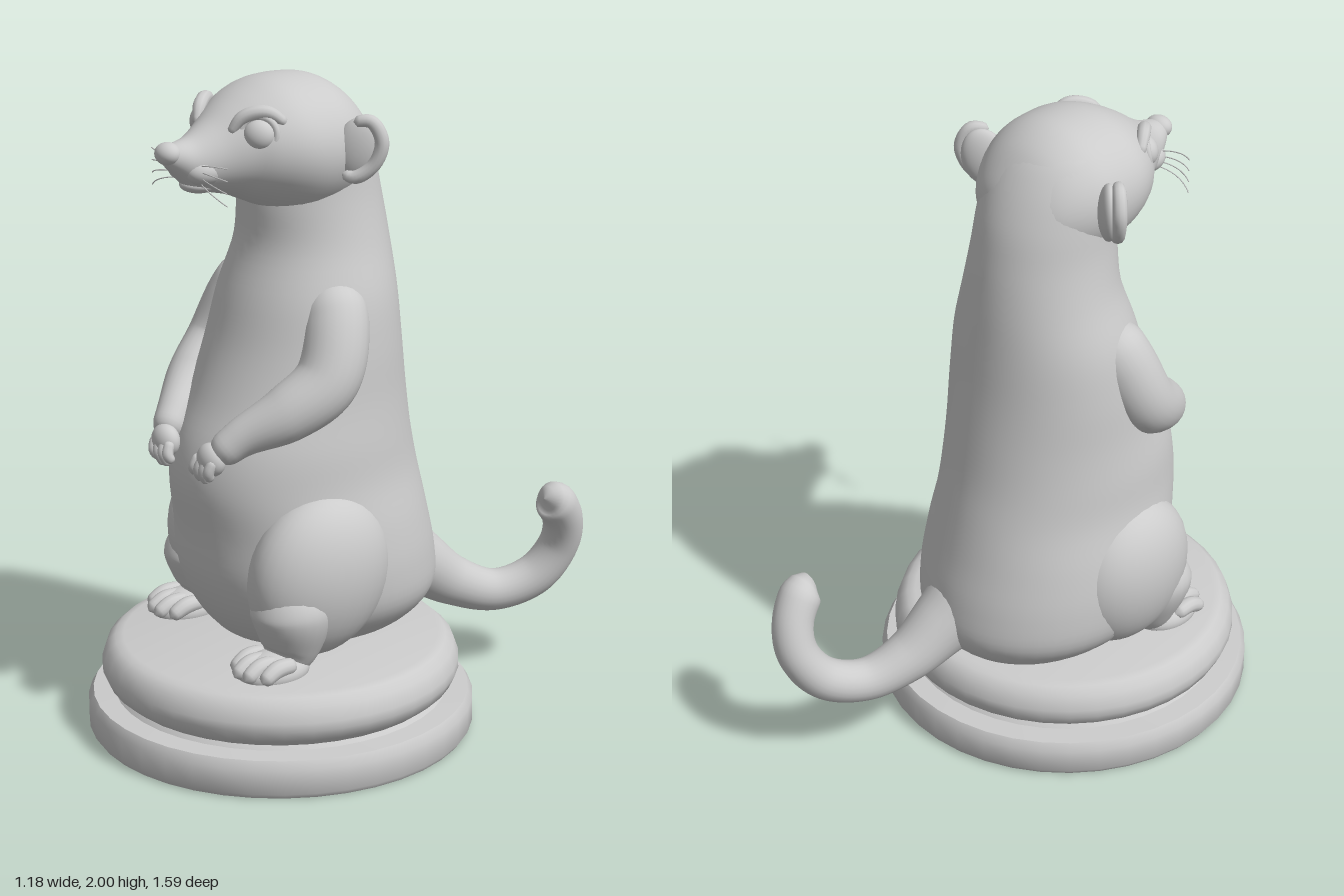
import * as THREE from 'three';
import { toCreasedNormals } from 'three/addons/utils/BufferGeometryUtils.js';

const grey = new THREE.MeshStandardMaterial({ color: 0xcccccc });
const V = (x, y, z) => new THREE.Vector3(x, y, z);

function add(parent, name, geometry, x = 0, y = 0, z = 0) {
  const mesh = new THREE.Mesh(geometry, grey);
  mesh.name = name;
  mesh.position.set(x, y, z);
  parent.add(mesh);
  return mesh;
}

// Smooth interpolation through rows of numbers, t from 0 to 1
function sampler(rows) {
  const track = new THREE.CubicInterpolant(rows.map((_, i) => i), rows.flat(), rows[0].length);
  return t => Array.from(track.evaluate(t * (rows.length - 1)));
}

// Closed skin over a series of rings, with a pole at either end
function skin(rings) {
  const n = rings[0].length, last = rings.length - 1;
  const middle = ring => ring.reduce((sum, p) => sum.add(p), V(0, 0, 0)).divideScalar(n);
  const points = [...rings.flat(), middle(rings[0]), middle(rings[last])];
  const index = [], pole = rings.length * n;
  for (let j = 0; j < n; j++) {
    const k = (j + 1) % n;
    for (let i = 0; i < last; i++) {
      const a = i * n + j, b = i * n + k;
      index.push(a, b, a + n, b, b + n, a + n);
    }
    index.push(pole, k, j, pole + 1, last * n + j, last * n + k);
  }
  const g = new THREE.BufferGeometry().setFromPoints(points);
  g.setIndex(index);
  g.computeVertexNormals();
  return g;
}

function ring(center, u, v, a, b, n) {
  return Array.from({ length: n }, (_, j) => {
    const t = j / n * Math.PI * 2;
    return center.clone().addScaledVector(u, a * Math.cos(t)).addScaledVector(v, b * Math.sin(t));
  });
}

// Round-ended limb through rows of [x, y, z, radius]
function limb(rows, steps = 40, sides = 20) {
  const curve = new THREE.CatmullRomCurve3(rows.map(r => V(r[0], r[1], r[2])));
  const radius = sampler(rows.map(r => [r[3]]));
  const frames = curve.computeFrenetFrames(steps);
  const length = curve.getLength(), rings = [];
  for (let i = 0; i <= steps; i++) {
    const u = i / steps, r = radius(curve.getUtoTmapping(u))[0];
    const k = Math.min(1, Math.min(u, 1 - u) * length / r);
    const rr = r * Math.max(0.03, Math.sqrt(1 - (1 - k) ** 2));
    rings.push(ring(curve.getPointAt(u), frames.normals[i], frames.binormals[i], rr, rr, sides));
  }
  return skin(rings);
}

function ellipsoid(parent, name, [x, y, z], [rx, ry, rz]) {
  return add(parent, name, new THREE.SphereGeometry(1, 32, 20).scale(rx, ry, rz), x, y, z);
}

function torso() {
  // [y, back z, front z, half width]
  const rows = [
    [0.27, -0.17, 0.3, 0.18], [0.31, -0.27, 0.37, 0.27], [0.4, -0.335, 0.44, 0.35],
    [0.52, -0.33, 0.485, 0.37], [0.66, -0.3, 0.5, 0.36], [0.8, -0.27, 0.52, 0.335],
    [0.92, -0.245, 0.5, 0.325], [1.05, -0.225, 0.44, 0.31], [1.2, -0.205, 0.38, 0.3],
    [1.35, -0.19, 0.335, 0.28], [1.5, -0.175, 0.285, 0.235], [1.63, -0.155, 0.28, 0.21],
    [1.75, -0.125, 0.27, 0.2], [1.86, -0.07, 0.26, 0.19], [1.94, 0, 0.24, 0.15], [1.985, 0.1, 0.18, 0.05]];
  const at = sampler(rows), rings = [];
  for (let i = 0; i <= 70; i++) {
    const [y, back, front, w] = at(i / 70);
    rings.push(ring(V(0, y, (back + front) / 2), V(0, 0, 1), V(1, 0, 0), (front - back) / 2, w, 48));
  }
  return skin(rings);
}

function skull() {
  // [z, bottom y, top y, half width]
  const rows = [
    [-0.1, 1.74, 1.8, 0.04], [-0.06, 1.66, 1.87, 0.14], [0, 1.61, 1.945, 0.195], [0.08, 1.59, 1.99, 0.23],
    [0.17, 1.59, 2.0, 0.24], [0.25, 1.615, 1.992, 0.232], [0.32, 1.645, 1.965, 0.2], [0.38, 1.67, 1.93, 0.152],
    [0.44, 1.685, 1.887, 0.108], [0.5, 1.7, 1.853, 0.075], [0.55, 1.745, 1.84, 0.05], [0.59, 1.785, 1.83, 0.022]];
  const at = sampler(rows), rings = [];
  for (let i = 0; i <= 50; i++) {
    const [z, low, high, w] = at(i / 50);
    rings.push(ring(V(0, (low + high) / 2, z), V(1, 0, 0), V(0, 1, 0), w, (high - low) / 2, 48));
  }
  return skin(rings);
}

function buildHead(head) {
  add(head, 'skull', skull());
  ellipsoid(head, 'nose', [0, 1.812, 0.572], [0.043, 0.033, 0.036]);
  ellipsoid(head, 'chin', [0, 1.712, 0.465], [0.055, 0.026, 0.06]);
  for (const s of [-1, 1]) {
    ellipsoid(head, 'muzzleCheek', [s * 0.042, 1.757, 0.475], [0.048, 0.042, 0.062]);

    // Eye, its lid and the brow above
    const eye = new THREE.Group();
    eye.name = 'eye';
    eye.position.set(s * 0.137, 1.86, 0.352);
    eye.rotation.set(-0.12, s * 0.72, 0, 'YXZ');
    head.add(eye);
    ellipsoid(eye, 'eyeball', [0, 0, 0.004], [0.046, 0.044, 0.035]);
    add(eye, 'eyelid', new THREE.TorusGeometry(0.051, 0.011, 10, 32), 0, 0, 0.004);
    add(eye, 'brow', limb([[-s * 0.085, 0, 0.01, 0.012], [-s * 0.045, 0.05, 0.01, 0.02],
      [s * 0.02, 0.064, 0, 0.02], [s * 0.075, 0.03, -0.02, 0.014]], 20, 10));

    // Ear with a rolled rim open to the front
    const ear = new THREE.Group();
    ear.name = 'ear';
    ear.position.set(s * 0.255, 1.805, 0.09);
    ear.rotation.set(0, s * 0.75, -s * 0.22, 'YXZ');
    head.add(ear);
    ellipsoid(ear, 'earBody', [0, 0, -0.015], [0.068, 0.092, 0.032]);
    add(ear, 'earRim', limb([[-s * 0.03, 0.075, 0.01, 0.016], [s * 0.02, 0.088, 0.01, 0.02],
      [s * 0.062, 0.04, 0.01, 0.021], [s * 0.055, -0.03, 0.01, 0.02],
      [s * 0.01, -0.08, 0.01, 0.02], [-s * 0.03, -0.08, 0.005, 0.014]], 30, 12));

    // Whiskers
    for (let i = 0; i < 4; i++) {
      const y = 1.775 - i * 0.016;
      const path = new THREE.QuadraticBezierCurve3(V(s * 0.055, y, 0.5),
        V(s * 0.13, y + 0.02 - i * 0.01, 0.53), V(s * 0.185, y + 0.015 - i * 0.02, 0.5));
      add(head, 'whisker', new THREE.TubeGeometry(path, 8, 0.0018, 5));
    }
  }
}

function buildArm(parent, s) {
  add(parent, 'arm', limb([[s * 0.17, 1.4, 0.12, 0.09], [s * 0.235, 1.28, 0.15, 0.1],
    [s * 0.268, 1.14, 0.21, 0.097], [s * 0.235, 1.055, 0.32, 0.085],
    [s * 0.165, 0.985, 0.44, 0.058], [s * 0.125, 0.925, 0.51, 0.048]], 50, 24));
  ellipsoid(parent, 'hand', [s * 0.115, 0.92, 0.513], [0.052, 0.05, 0.038]);
  for (let i = 0; i < 4; i++) {
    const x = 0.148 - i * 0.024, drop = [0.015, 0, 0.003, 0.02][i];
    add(parent, 'finger', limb([[s * x, 0.93, 0.525, 0.016], [s * (x - 0.01), 0.89, 0.54, 0.017],
      [s * (x - 0.018), 0.848 + drop, 0.525, 0.013]], 14, 10));
  }
}

function buildLeg(parent, s) {
  const leg = new THREE.Group();
  leg.name = s > 0 ? 'leftLeg' : 'rightLeg';
  leg.position.z = s > 0 ? 0.04 : -0.05;
  parent.add(leg);
  const haunch = ellipsoid(leg, 'haunch', [s * 0.27, 0.55, 0.2], [0.155, 0.255, 0.235]);
  haunch.rotation.set(-0.15, 0, -s * 0.1);
  add(leg, 'shin', limb([[s * 0.28, 0.58, 0.33, 0.12], [s * 0.285, 0.46, 0.31, 0.125],
    [s * 0.28, 0.34, 0.32, 0.085], [s * 0.285, 0.28, 0.36, 0.06]], 30, 24));
  ellipsoid(leg, 'foot', [s * 0.285, 0.295, 0.38], [0.088, 0.058, 0.115]);
  for (let i = 0; i < 4; i++) {
    const x = 0.22 + i * 0.044, z = [0.46, 0.485, 0.48, 0.45][i];
    add(leg, 'toe', limb([[s * x, 0.325, z - 0.1, 0.024], [s * x, 0.325, z - 0.03, 0.026],
      [s * (x + 0.004), 0.298, z + 0.025, 0.021]], 14, 12));
  }
}

function buildBase(parent) {
  const profile = [[0, 0], [0.58, 0], [0.59, 0.015], [0.59, 0.09], [0.575, 0.115], [0.51, 0.118],
    [0.5, 0.13], [0.53, 0.155], [0.546, 0.19], [0.545, 0.215], [0.53, 0.258], [0.505, 0.28],
    [0.48, 0.286], [0, 0.286]].map(([r, y]) => new THREE.Vector2(r, y));
  add(parent, 'base', toCreasedNormals(new THREE.LatheGeometry(profile, 40), 0.7), 0, 0, 0.205);
}

export function createModel() {
  const model = new THREE.Group();
  model.name = 'animalStatue';
  buildBase(model);

  const animal = new THREE.Group();
  animal.name = 'animal';
  animal.position.x = -0.035;
  model.add(animal);
  add(animal, 'torso', torso());

  const head = new THREE.Group();
  head.name = 'head';
  head.position.x = 0.01;
  animal.add(head);
  buildHead(head);

  for (const s of [-1, 1]) {
    buildArm(animal, s);
    buildLeg(animal, s);
  }

  // Tail curling up behind the base
  add(model, 'tail', limb([[0.0, 0.5, -0.16, 0.15], [0.04, 0.405, -0.3, 0.105], [0.075, 0.32, -0.42, 0.08],
    [0.13, 0.273, -0.55, 0.067], [0.19, 0.315, -0.67, 0.066], [0.235, 0.42, -0.73, 0.064],
    [0.265, 0.52, -0.715, 0.064], [0.28, 0.6, -0.65, 0.066], [0.28, 0.605, -0.62, 0.06]], 70, 24));
  return model;
}
